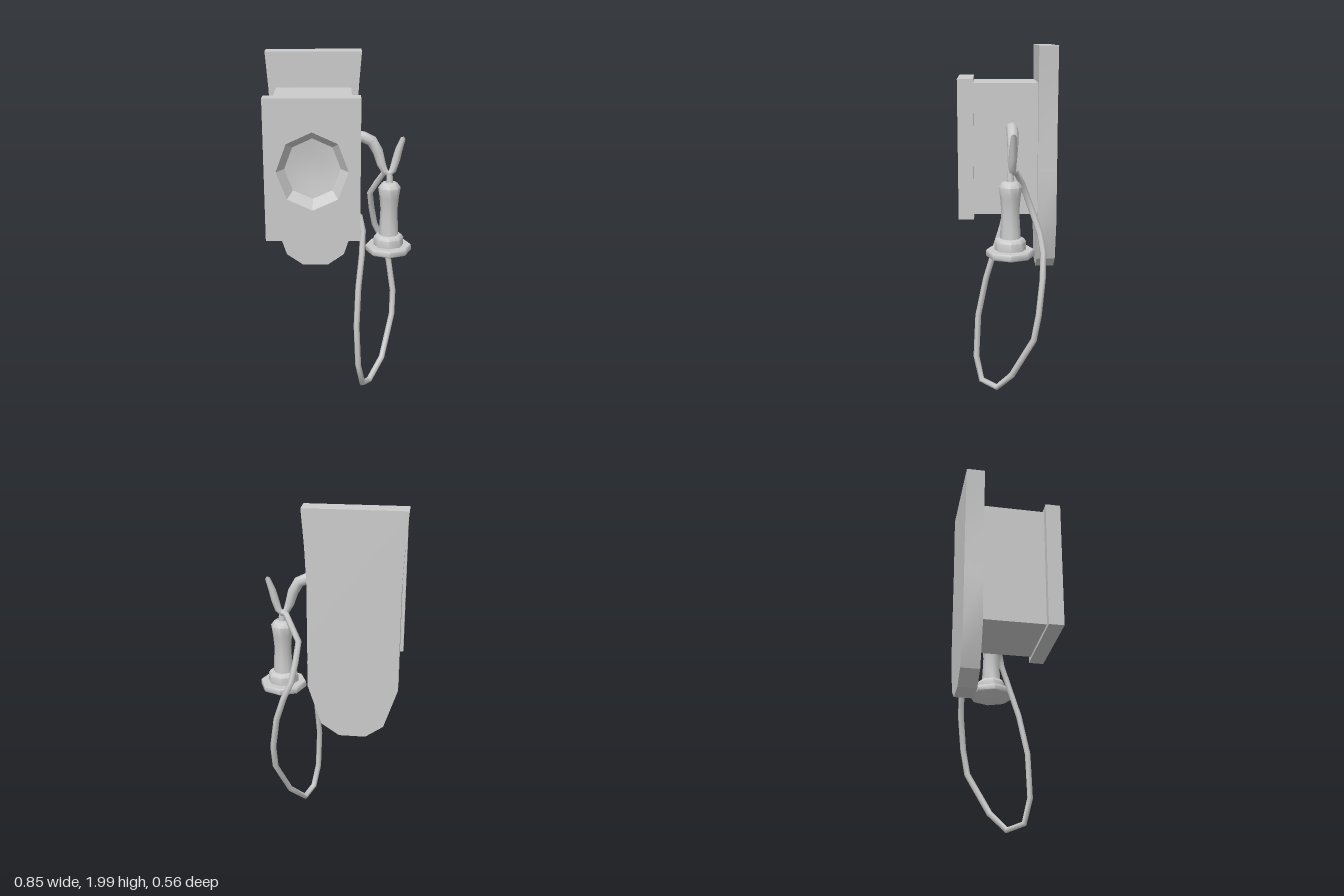
import * as THREE from 'three';
import { toCreasedNormals } from 'three/addons/utils/BufferGeometryUtils.js';

const CX = -0.15; // centre line of the cabinet
const mat = new THREE.MeshStandardMaterial({ color: 0xcccccc });

function add(group, name, geometry) {
  const mesh = new THREE.Mesh(geometry, mat);
  mesh.name = name;
  group.add(mesh);
  return mesh;
}

// Tube whose rings sit exactly on the given [x, y, z, radius] points
function ringTube(points, sides) {
  const curve = new THREE.CatmullRomCurve3(points.map(([x, y, z]) => new THREE.Vector3(x, y, z)));
  curve.getPointAt = curve.getPoint;
  curve.getTangentAt = curve.getTangent;
  const geo = new THREE.TubeGeometry(curve, points.length - 1, 1, sides);
  const pos = geo.attributes.position;
  const v = new THREE.Vector3();
  for (let i = 0; i < pos.count; i++) {
    const [x, y, z, r] = points[Math.floor(i / (sides + 1))];
    const c = new THREE.Vector3(x, y, z);
    v.fromBufferAttribute(pos, i).sub(c).multiplyScalar(r).add(c);
    pos.setXYZ(i, v.x, v.y, v.z);
  }
  return geo;
}

const lathe = (profile) =>
  new THREE.LatheGeometry(profile.map(([r, y]) => new THREE.Vector2(r, y)), 8);

export function createModel() {
  const group = new THREE.Group();
  group.name = 'wallTelephone';

  // Back board: flared top, tapered rounded foot
  const half = [[0.075, 0.7], [0.175, 0.77], [0.25, 1.0], [0.25, 1.3], [0.25, 1.6], [0.259, 1.8], [0.275, 2]];
  const outline = [
    ...half.map(([w, y]) => new THREE.Vector2(CX + w, y)),
    ...half.slice().reverse().map(([w, y]) => new THREE.Vector2(CX - w, y)),
  ];
  const board = new THREE.ExtrudeGeometry(new THREE.Shape(outline), { depth: 0.108, bevelEnabled: false });
  board.translate(0, 0, -0.28);
  add(group, 'backBoard', toCreasedNormals(board, 0.4));

  // Cabinet body
  const body = new THREE.BoxGeometry(0.43, 0.745, 0.37);
  add(group, 'cabinetBody', body).position.set(CX, 1.4225, 0.007);

  // Front panel with an octagonal opening
  const panel = new THREE.Shape([
    new THREE.Vector2(-0.26, 1.03), new THREE.Vector2(0.26, 1.03),
    new THREE.Vector2(0.26, 1.82), new THREE.Vector2(-0.26, 1.82),
  ]);
  const hole = [];
  for (let i = 0; i < 8; i++) {
    const a = (i * Math.PI) / 4;
    hole.push(new THREE.Vector2(0.196 * Math.cos(a), 1.423 + 0.217 * Math.sin(a)));
  }
  panel.holes.push(new THREE.Path(hole));
  const panelGeo = new THREE.ExtrudeGeometry(panel, { depth: 0.088, bevelEnabled: false });
  add(group, 'frontPanel', panelGeo).position.set(CX, 0, 0.191);

  // Sloped rim and shallow dish inside the opening
  const dish = lathe([[0.217, 0.279], [0.17, 0.215], [0.09, 0.204], [0, 0.2]]);
  dish.rotateX(Math.PI / 2).scale(0.196 / 0.217, 1, 1);
  add(group, 'speakerRecess', toCreasedNormals(dish, 0.6)).position.set(CX, 1.423, 0);

  // Hook arm, curving down to the cradle and up to a pointed prong
  add(group, 'cradleHook', ringTube([
    [0.05, 1.545, -0.025, 0.033], [0.13, 1.543, -0.025, 0.033], [0.18, 1.52, -0.025, 0.032],
    [0.215, 1.46, -0.025, 0.03], [0.235, 1.39, -0.022, 0.026], [0.255, 1.345, -0.02, 0.02],
    [0.28, 1.325, -0.02, 0.018], [0.303, 1.35, -0.02, 0.021], [0.32, 1.41, -0.022, 0.023],
    [0.335, 1.47, -0.024, 0.021], [0.358, 1.535, -0.026, 0.015], [0.361, 1.545, -0.026, 0],
  ], 8));

  // Earpiece, hollow underneath
  const earpiece = lathe([
    [0, 0.96], [0.05, 0.93], [0.115, 0.862], [0.13, 0.86], [0.135, 0.866], [0.135, 0.893],
    [0.13, 0.9], [0.088, 0.9], [0.088, 0.945], [0.076, 0.962], [0.058, 0.965], [0.052, 1.06],
    [0.05, 1.12], [0.056, 1.19], [0.065, 1.25], [0.045, 1.277], [0.02, 1.28], [0.016, 1.34], [0, 1.345],
  ]);
  add(group, 'earpiece', toCreasedNormals(earpiece, 0.85)).position.set(0.285, 0, -0.01);

  // Cord from the earpiece, hanging in a loop and back to the cabinet side
  const cord = [
    [0.29, 1.33, -0.01], [0.255, 1.33, -0.04], [0.215, 1.26, -0.075], [0.177, 1.19, -0.1],
    [0.19, 1.08, -0.14], [0.21, 0.97, -0.178], [0.255, 0.87, -0.195], [0.3, 0.73, -0.19],
    [0.33, 0.53, -0.168], [0.325, 0.38, -0.142], [0.26, 0.14, -0.02], [0.18, 0.03, 0.065],
    [0.135, 0.06, 0.155], [0.108, 0.2, 0.185], [0.097, 0.45, 0.172], [0.107, 0.68, 0.125],
    [0.128, 0.87, 0.07], [0.133, 1.0, 0.03], [0.115, 1.08, 0.012], [0.055, 1.12, 0.01],
  ];
  add(group, 'cord', ringTube(cord.map((p) => [...p, 0.018]), 6));

  return group;
}
